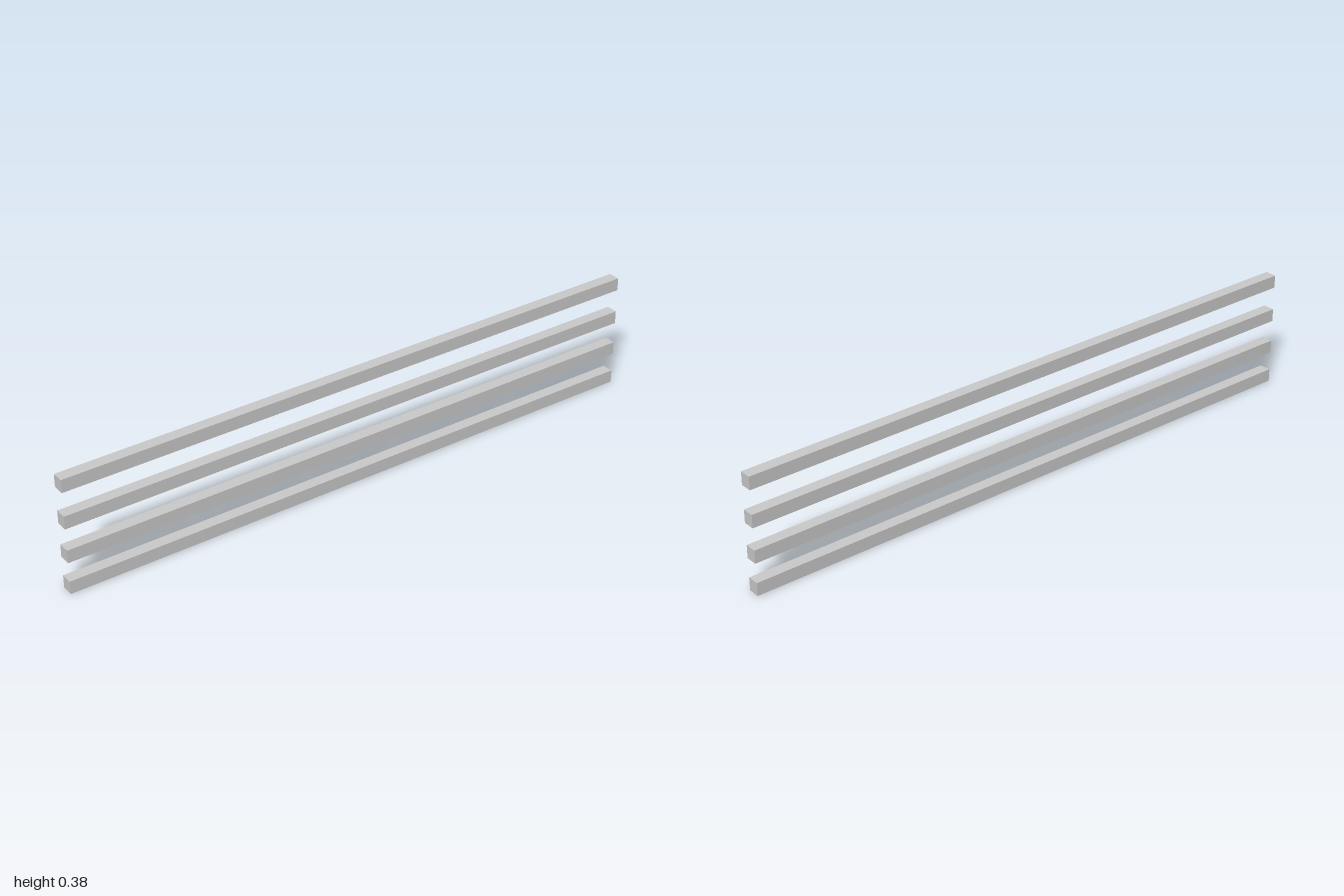
import * as THREE from 'three';

export function createModel() {
  const model = new THREE.Group();
  model.name = 'railSet';

  const length = 2, height = 0.042, depth = 0.038;
  const material = new THREE.MeshStandardMaterial({ color: 0xcccccc, flatShading: true });
  const geometry = new THREE.BoxGeometry(length, height, depth);

  // Four horizontal rails, listed by the height of their underside
  const undersides = [0, 0.105, 0.218, 0.337];
  undersides.forEach((y, i) => {
    const rail = new THREE.Mesh(geometry, material);
    rail.name = `rail${i + 1}`;
    rail.position.y = y + height / 2;
    model.add(rail);
  });

  return model;
}
